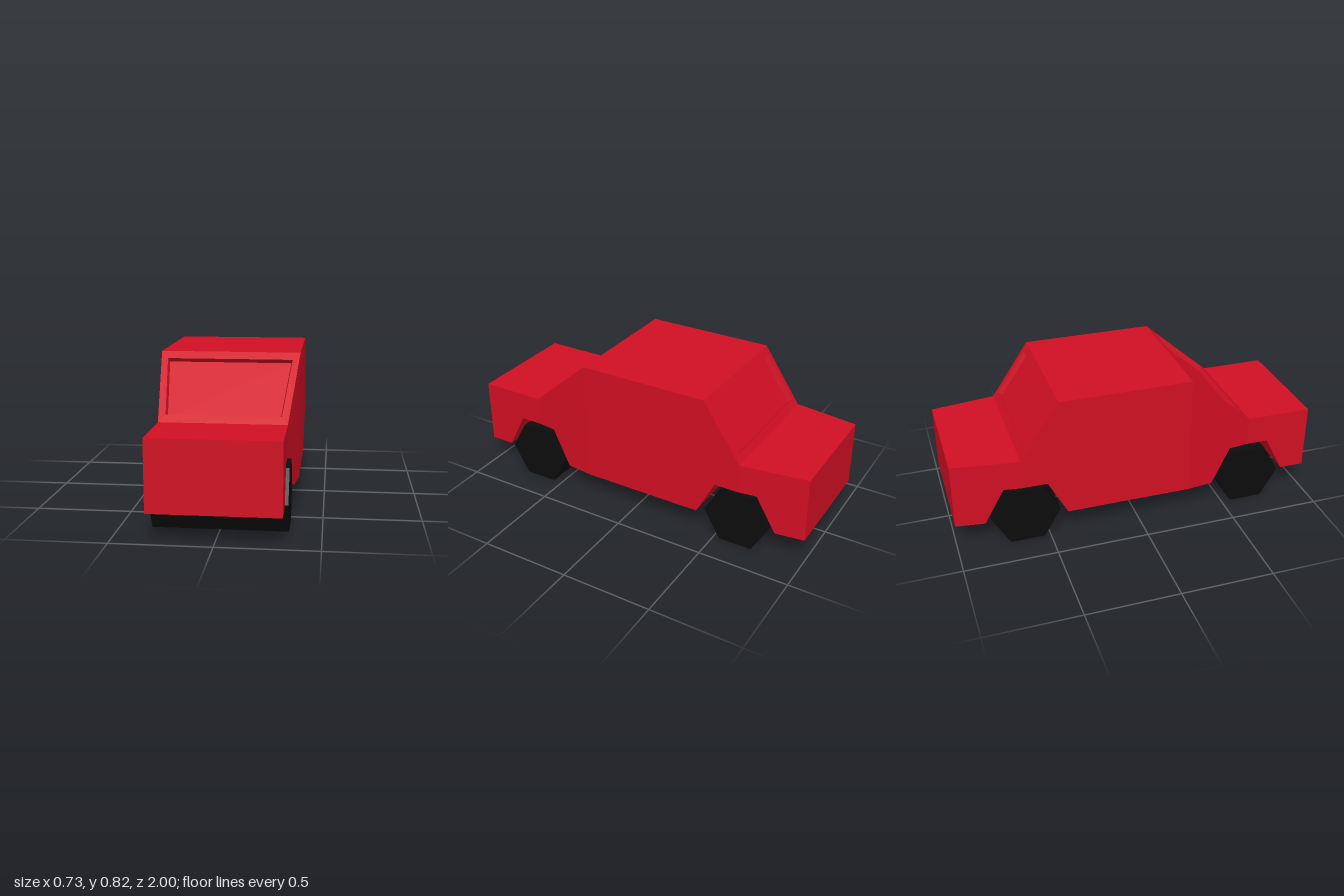
import * as THREE from 'three';

const paintRed = new THREE.MeshStandardMaterial({ color: 0xd10f23 });
const tyreBlack = new THREE.MeshStandardMaterial({ color: 0x0c0c0c });
paintRed.name = 'paintRed';
tyreBlack.name = 'tyreBlack';

// half width of the body along its length: narrow nose, full cabin, tapered tail
function halfWidth(z) {
  if (z >= 0.64) return 0.322;
  if (z >= 0.28) return THREE.MathUtils.mapLinear(z, 0.28, 0.64, 0.365, 0.322);
  if (z >= -0.645) return 0.365;
  return THREE.MathUtils.mapLinear(z, -0.645, -1, 0.365, 0.315);
}

// four corners spanning the body between two profile points [z, y]
function span(p, q, wp = halfWidth(p[0]), wq = halfWidth(q[0])) {
  return [[-wp, p[1], p[0]], [wp, p[1], p[0]], [wq, q[1], q[0]], [-wq, q[1], q[0]]];
}

function quadMesh(name, quads) {
  const geo = new THREE.BufferGeometry();
  const pos = quads.flatMap(([a, b, c, d]) => [a, b, c, a, c, d]).flat();
  geo.setAttribute('position', new THREE.Float32BufferAttribute(pos, 3));
  geo.computeVertexNormals();
  const mesh = new THREE.Mesh(geo, paintRed);
  mesh.name = name;
  return mesh;
}

// framed opening with a recessed pane
function recessedWindow(name, outer, hole, pane) {
  const quads = [pane];
  for (let i = 0; i < 4; i++) {
    const j = (i + 1) % 4;
    quads.push([outer[i], outer[j], hole[j], hole[i]], [hole[i], hole[j], pane[j], pane[i]]);
  }
  return quadMesh(name, quads);
}

// flat side panel drawn in (z, y) and laid onto the body's side
function sidePanel(name, points, side) {
  const shape = new THREE.Shape(points.map(([z, y]) => new THREE.Vector2(z, y)));
  const geo = new THREE.ShapeGeometry(shape);
  const pos = geo.attributes.position;
  for (let i = 0; i < pos.count; i++) {
    const z = pos.getX(i);
    pos.setXYZ(i, side * halfWidth(z), pos.getY(i), z);
  }
  if (side > 0) geo.setIndex(Array.from(geo.index.array).reverse());
  geo.computeVertexNormals();
  const mesh = new THREE.Mesh(geo, paintRed);
  mesh.name = name;
  return mesh;
}

export function createModel() {
  const car = new THREE.Group();
  car.name = 'car';

  // hood, roof, trunk, underside and wheel arches
  const strips = [
    [[1, 0.15], [1, 0.51], [0.64, 0.51]],
    [[0.28, 0.82], [-0.435, 0.82]],
    [[-0.645, 0.51], [-1, 0.51], [-1, 0.15], [-0.845, 0.15], [-0.74, 0.35], [-0.645, 0.35],
      [-0.51, 0.35], [-0.405, 0.15], [0.28, 0.15], [0.425, 0.15], [0.53, 0.35], [0.64, 0.35],
      [0.76, 0.35], [0.865, 0.15], [1, 0.15]],
  ];
  const quads = strips.flatMap((s) => s.slice(1).map((q, i) => span(s[i], q)));
  car.add(quadMesh('bodyShell', quads));

  // windows
  car.add(recessedWindow('windshield',
    span([0.64, 0.51], [0.28, 0.82]),
    span([0.602, 0.543], [0.318, 0.787], 0.29, 0.327),
    span([0.585, 0.523], [0.301, 0.767], 0.282, 0.319)));
  car.add(recessedWindow('rearWindow',
    span([-0.435, 0.82], [-0.645, 0.51]),
    span([-0.46, 0.783], [-0.62, 0.547], 0.333, 0.333),
    span([-0.438, 0.768], [-0.598, 0.532], 0.325, 0.325)));

  // side panels, split where the body changes width
  const panels = {
    nosePanel: [[1, 0.15], [1, 0.51], [0.64, 0.51], [0.64, 0.35], [0.76, 0.35], [0.865, 0.15]],
    cowlPanel: [[0.64, 0.51], [0.28, 0.82], [0.28, 0.15], [0.425, 0.15], [0.53, 0.35], [0.64, 0.35]],
    cabinPanel: [[0.28, 0.82], [-0.435, 0.82], [-0.645, 0.51], [-0.645, 0.35], [-0.51, 0.35],
      [-0.405, 0.15], [0.28, 0.15]],
    tailPanel: [[-0.645, 0.51], [-1, 0.51], [-1, 0.15], [-0.845, 0.15], [-0.74, 0.35], [-0.645, 0.35]],
  };
  for (const [name, points] of Object.entries(panels)) {
    car.add(sidePanel(name + 'Left', points, 1), sidePanel(name + 'Right', points, -1));
  }

  // six-sided wheel rollers spanning the car
  const roller = new THREE.CylinderGeometry(0.185, 0.185, 0.676, 6).rotateZ(Math.PI / 2).toNonIndexed();
  roller.computeVertexNormals();
  for (const [name, z] of [['frontWheels', 0.645], ['rearWheels', -0.625]]) {
    const wheels = new THREE.Mesh(roller, tyreBlack);
    wheels.name = name;
    wheels.position.set(0, 0.16, z);
    car.add(wheels);
  }

  return car;
}
